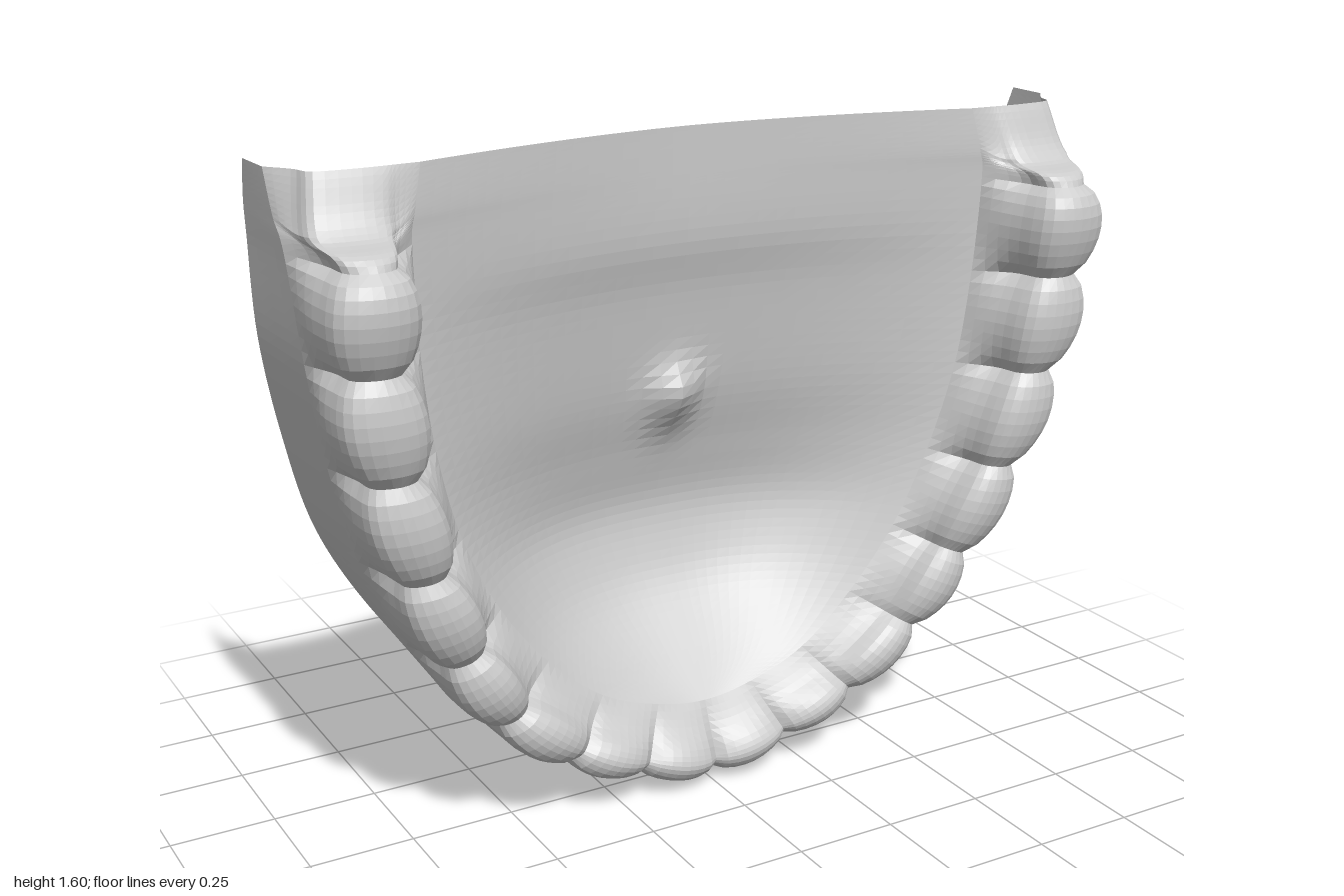
import * as THREE from 'three';

const V = (x, y, z) => new THREE.Vector3(x, y, z);
const { lerp, clamp } = THREE.MathUtils;
const KNOTS = 10, TEETH = 8, STEPS = 8;

// Guide curve of the left half, one knot per gap between teeth from the front middle to the back,
// mirrored to the right half; returns a function of u in -KNOTS..KNOTS
function guide(pts) {
  const left = pts.map(p => V(...p));
  const right = left.slice(1).reverse().map(p => V(-p.x, p.y, p.z));
  const c = new THREE.CatmullRomCurve3([...right, ...left], false, 'catmullrom', 0.5);
  return u => c.getPoint((u + KNOTS) / (2 * KNOTS));
}

const rim = guide([[0, 0.05, -0.315], [0.22, 0.08, -0.31], [0.42, 0.18, -0.3], [0.6, 0.32, -0.285],
  [0.74, 0.5, -0.265], [0.86, 0.72, -0.235], [0.93, 0.96, -0.205], [0.975, 1.2, -0.18],
  [0.99, 1.43, -0.155], [0.995, 1.51, -0.143], [1, 1.595, -0.112]]);
const gum = guide([[0, 0, -0.11], [0.22, 0.04, -0.1], [0.42, 0.135, -0.08], [0.6, 0.29, -0.05],
  [0.735, 0.48, -0.02], [0.85, 0.72, 0.02], [0.92, 0.96, 0.06], [0.965, 1.2, 0.09],
  [0.985, 1.43, 0.07], [0.99, 1.5, 0.03], [0.995, 1.595, 0]]);
const tip = guide([[0, 0.06, 0.15], [0.19, 0.1, 0.155], [0.37, 0.18, 0.165], [0.54, 0.32, 0.185],
  [0.66, 0.5, 0.215], [0.76, 0.72, 0.255], [0.83, 0.96, 0.285], [0.865, 1.2, 0.31],
  [0.87, 1.42, 0.325], [0.87, 1.475, 0.18], [0.85, 1.595, 0.115]]);
const lingual = guide([[0, 0.2, 0.06], [0.13, 0.22, 0.06], [0.28, 0.28, 0.06], [0.42, 0.4, 0.06],
  [0.54, 0.56, 0.07], [0.63, 0.75, 0.08], [0.69, 0.97, 0.1], [0.72, 1.2, 0.11],
  [0.73, 1.43, 0.12], [0.72, 1.5, 0.12], [0.7, 1.595, 0.11]]);
const halfWidth = guide([0.05, 0.05, 0.06, 0.07, 0.08, 0.09, 0.1, 0.108, 0.105, 0.1, 0.1].map(w => [0, 0, w]));

// Palate height along the middle, by y and z
const vault = new THREE.SplineCurve([[0.2, 0.06], [0.3, -0.02], [0.42, -0.12], [0.52, -0.165], [0.64, -0.183],
  [0.78, -0.15], [0.95, -0.1], [1.2, -0.055], [1.35, -0.02], [1.6, -0.01]].map(p => new THREE.Vector2(...p)))
  .getPoints(90);

function vaultZ(y) {
  let i = 0;
  while (i < vault.length - 2 && y > vault[i + 1].x) i++;
  const a = vault[i], b = vault[i + 1];
  return lerp(a.y, b.y, (y - a.x) / (b.x - a.x));
}

// Cross-section over the teeth from the outer gum line to the palate
function toothSection(u) {
  const G = gum(u), T = tip(u), L = lingual(u), k = Math.abs(u);
  const out = V(G.x - L.x, G.y - L.y, 0).normalize();
  // groove is 1 in the gaps between teeth and fades out behind the last one
  const groove = k < TEETH ? 1 - Math.pow(Math.abs(Math.sin(Math.PI * k)), 0.65) : Math.max(0, 1 - (k - TEETH));
  const w = halfWidth(u).z * (1 - 0.38 * groove);
  const top = T.z - 0.035 * groove;
  const at = (side, drop) => V(T.x + out.x * w * side, T.y + out.y * w * side,
    lerp(top, side > 0 ? G.z : L.z, drop));
  const crest = V(T.x, T.y, top);
  // front teeth slope straight to the palate, back teeth have a steep inner wall
  const inner = crest.clone().lerp(L, 0.6).lerp(at(-1.02, 0.55), clamp((k - 1.5) / 2.5, 0, 1));
  const pts = [G, at(1, 0.5), at(0.82, 0.12), crest, at(-0.72, 0.12), inner, L];
  return new THREE.CatmullRomCurve3(pts, false, 'centripetal').getPoints(20);
}

// Outer wall from the free rim to the gum line
function wallSection(u) {
  const R = rim(u), G = gum(u);
  return [0, 0.25, 0.5, 0.75, 1].map(s => R.clone().lerp(G, s));
}

// Row across the palate from the left teeth to the right teeth, with the small central nub
function palateRow(u) {
  const L = lingual(u), c = vaultZ(L.y), power = lerp(2.6, 1.7, clamp(L.y - 0.6, 0, 1)), n = 32, row = [];
  for (let i = 0; i <= n; i++) {
    const v = 1 - 2 * i / n, x = L.x * v, dy = L.y - 0.95;
    const d = Math.hypot(x / 0.06, dy / (dy < 0 ? 0.09 : 0.06));
    row.push(V(x, L.y, c + (L.z - c) * Math.pow(Math.abs(v), power) + 0.055 * Math.exp(-d * d)));
  }
  return row;
}

// Skin through rows of points with equal counts
function skin(name, rows, material) {
  const n = rows[0].length, index = [];
  for (let r = 0; r < rows.length - 1; r++) {
    for (let i = 0; i < n - 1; i++) {
      const a = r * n + i, b = a + n;
      index.push(a, b, a + 1, b, b + 1, a + 1);
    }
  }
  const g = new THREE.BufferGeometry().setFromPoints(rows.flat());
  g.setIndex(index);
  g.computeVertexNormals();
  const mesh = new THREE.Mesh(g, material);
  mesh.name = name;
  return mesh;
}

export function createModel() {
  const group = new THREE.Group();
  group.name = 'dentalPlate';
  const material = new THREE.MeshStandardMaterial({ color: 0xcccccc, flatShading: true, side: THREE.DoubleSide });

  // Sections from one knot to another along the arch
  const sweep = (section, from) => {
    const rows = [];
    for (let i = from * STEPS; i <= KNOTS * STEPS; i++) rows.push(section(i / STEPS));
    return rows;
  };
  group.add(skin('gumWall', sweep(wallSection, -KNOTS), material));
  group.add(skin('teeth', sweep(toothSection, -KNOTS), material));
  group.add(skin('palate', sweep(palateRow, 0), material));
  return group;
}
